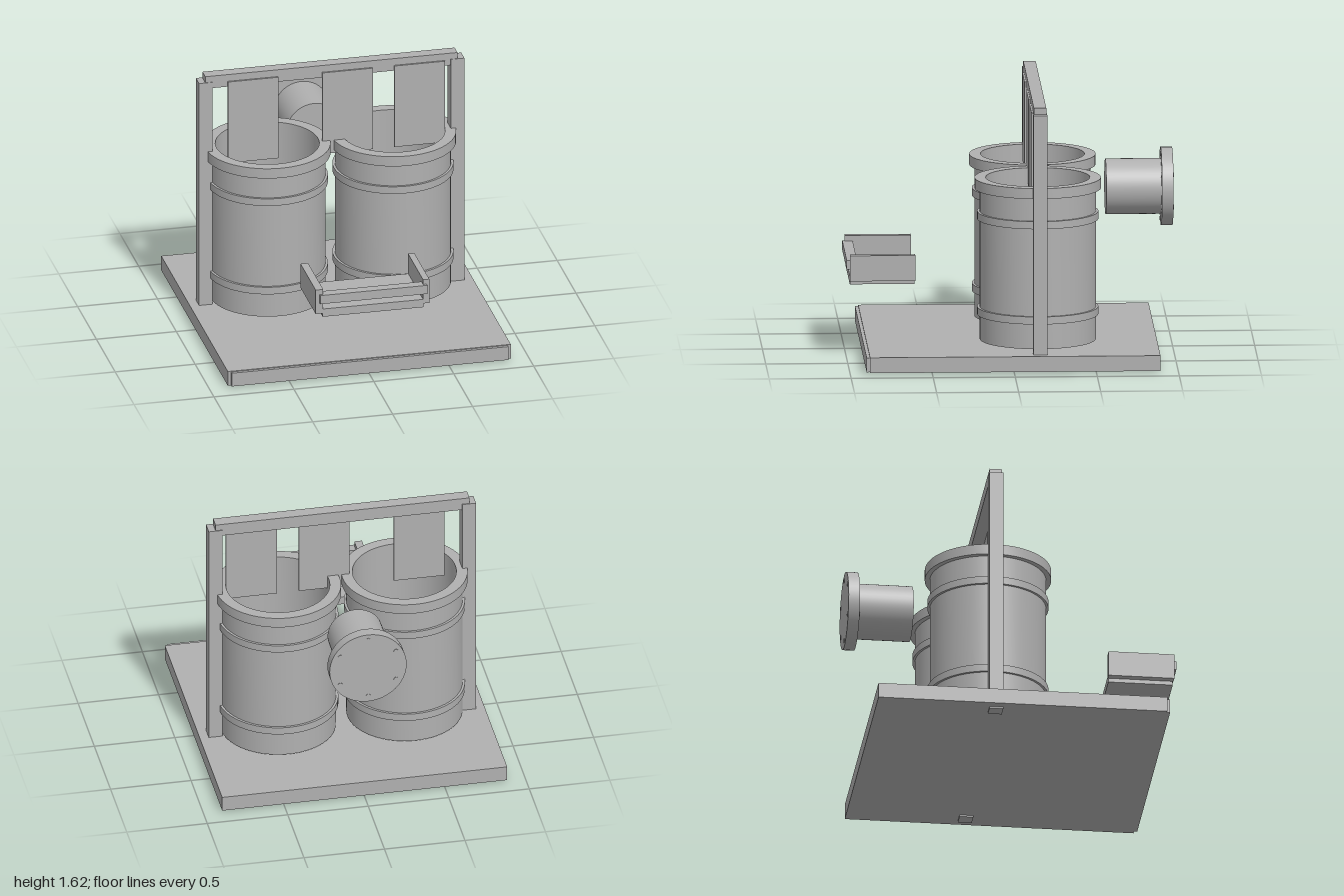
import * as THREE from 'three';
import { toCreasedNormals } from 'three/addons/utils/BufferGeometryUtils.js';

export function createModel() {
  const model = new THREE.Group();
  model.name = 'twinTubStation';

  const grey = new THREE.MeshStandardMaterial({ color: 0xb0b0b0 });
  grey.name = 'plain grey';
  const blue = new THREE.MeshStandardMaterial({ color: 0x5588a4 });
  blue.name = 'water blue';

  const add = (parent, name, geometry, material = grey) => {
    const mesh = new THREE.Mesh(geometry, material);
    mesh.name = name;
    parent.add(mesh);
    return mesh;
  };
  const group = (name) => {
    const g = new THREE.Group();
    g.name = name;
    model.add(g);
    return g;
  };
  // Box from its lower and upper limits on each axis
  const box = (parent, name, x0, x1, y0, y1, z0, z1) =>
    add(parent, name, new THREE.BoxGeometry(x1 - x0, y1 - y0, z1 - z0))
      .position.set((x0 + x1) / 2, (y0 + y1) / 2, (z0 + z1) / 2);
  // Turned part with sharp edges
  const lathe = (points) => toCreasedNormals(
    new THREE.LatheGeometry(points.map(([r, y]) => new THREE.Vector2(r, y)), 64), 0.5);
  // Cylinder lying along z
  const cylinderZ = (parent, name, r, x, y, z0, z1, sides) => {
    const geo = new THREE.CylinderGeometry(r, r, z1 - z0, sides).rotateX(Math.PI / 2);
    add(parent, name, geo).position.set(x, y, (z0 + z1) / 2);
  };

  // Base platform with front strip
  const base = group('base');
  box(base, 'platform', -0.885, 0.885, 0.01, 0.105, -0.89, 0.88);
  box(base, 'frontStrip', -0.865, 0.865, 0.012, 0.1, 0.88, 0.9);

  // Open tubs with rim, hoops and water
  const tubZ = -0.162;
  for (const side of [-1, 1]) {
    const tub = group(side > 0 ? 'leftTub' : 'rightTub');
    tub.position.set(side * 0.393, 0, tubZ);
    add(tub, 'shell', lathe([
      [0, 0.125], [0.354, 0.125], [0.354, 1.06], [0.385, 1.06], [0.385, 1.125],
      [0.317, 1.125], [0.317, 0.17], [0, 0.17],
    ]));
    for (const y of [0.28, 0.87]) {
      add(tub, 'hoop', lathe([
        [0.35, y], [0.369, y], [0.369, y + 0.047], [0.35, y + 0.047],
      ]));
    }
    const water = add(tub, 'water', new THREE.CircleGeometry(0.318, 64).rotateX(-Math.PI / 2), blue);
    water.position.y = 0.55;
  }

  // Upright frame standing across the tubs
  const frame = group('frame');
  box(frame, 'rightPost', -0.83, -0.745, 0, 1.585, -0.203, -0.118);
  box(frame, 'leftPost', 0.745, 0.83, 0, 1.585, -0.203, -0.118);
  box(frame, 'crossBeam', -0.79, 0.787, 1.545, 1.625, -0.198, -0.122);

  // Panels hanging from the beam
  for (const [x0, x1] of [[-0.65, -0.335], [-0.06, 0.255], [0.39, 0.708]]) {
    box(frame, 'hangingPanel', x0, x1, 1.04, 1.58, -0.125, -0.111);
  }

  // Round housing at the back with a bolted flange
  const housing = group('housing');
  const hy = 0.992;
  cylinderZ(housing, 'barrel', 0.17, 0, hy, -0.997, -0.59, 48);
  cylinderZ(housing, 'flange', 0.239, 0, hy, -0.997, -0.927, 48);
  for (let i = 0; i < 6; i++) {
    const a = Math.PI / 2 + i * Math.PI / 3;
    cylinderZ(housing, 'bolt', 0.015, 0.2 * Math.cos(a), hy + 0.2 * Math.sin(a), -1, -0.922, 12);
  }

  // Front tray: floor, two side boards and a front rail
  const tray = group('tray');
  box(tray, 'floor', -0.315, 0.315, 0.455, 0.507, 0.585, 0.98);
  box(tray, 'rightBoard', -0.36, -0.313, 0.48, 0.64, 0.582, 0.985);
  box(tray, 'leftBoard', 0.313, 0.352, 0.48, 0.638, 0.582, 0.98);
  box(tray, 'frontRail', -0.335, 0.335, 0.55, 0.607, 0.937, 1);

  return model;
}
